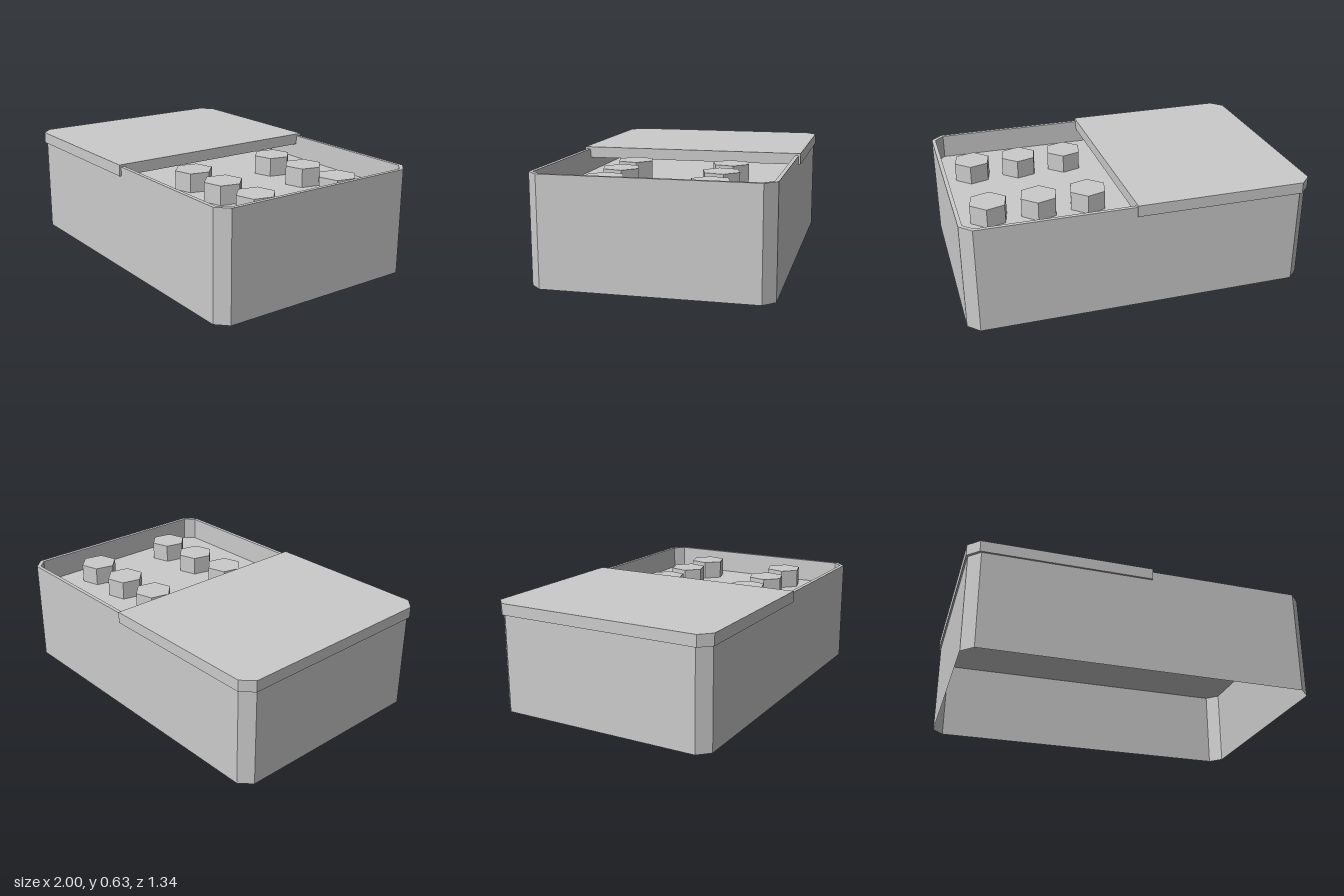
import * as THREE from 'three';

const grey = () => new THREE.MeshStandardMaterial({ color: 0xcccccc, flatShading: true, side: THREE.DoubleSide });

// Chamfered rectangle outline, counter-clockwise; c0 / c1 are the chamfers at the low and high x ends
function outline(x0, x1, hz, c0, c1) {
  return [
    [x0 + c0, -hz], [x1 - c1, -hz], [x1, -hz + c1], [x1, hz - c1],
    [x1 - c1, hz], [x0 + c0, hz], [x0, hz - c0], [x0, -hz + c0],
  ].map(([x, z]) => new THREE.Vector2(x, z));
}

// Skin a stack of closed outlines [points, y]
function loft(rings) {
  const pos = [], idx = [], n = rings[0][0].length;
  for (const [pts, y] of rings) for (const p of pts) pos.push(p.x, y, -p.y);
  for (let r = 0; r < rings.length - 1; r++) {
    for (let i = 0; i < n; i++) {
      const a = r * n + i, b = r * n + (i + 1) % n;
      idx.push(a, b, b + n, a, b + n, a + n);
    }
  }
  const g = new THREE.BufferGeometry();
  g.setAttribute('position', new THREE.Float32BufferAttribute(pos, 3));
  g.setIndex(idx);
  g.computeVertexNormals();
  return g;
}

export function createModel() {
  const group = new THREE.Group();
  const add = (name, geometry, x = 0, y = 0, z = 0) => {
    const mesh = new THREE.Mesh(geometry, grey());
    mesh.name = name;
    mesh.position.set(x, y, z);
    group.add(mesh);
    return mesh;
  };

  const top = 0.62, floorY = 0.48;
  const outer = outline(-0.99, 1, 0.66, 0.065, 0.065);
  const inner = outline(-0.968, 0.978, 0.638, 0.053, 0.053);

  // Walls: open below, with a thin rim turning down into the tray
  add('walls', loft([[outer, 0], [outer, top], [inner, top], [inner, floorY]]));

  // Raised tray floor
  add('trayFloor', new THREE.ShapeGeometry(new THREE.Shape(outer)).rotateX(-Math.PI / 2), 0, floorY, 0);

  // Lid over the right half, chamfered at its outer corners only
  const lidShape = new THREE.Shape(outline(-1, 0.047, 0.671, 0.065, 0).filter((p, i) => i !== 2 && i !== 4));
  const lid = new THREE.ExtrudeGeometry(lidShape, { depth: 0.066, bevelEnabled: false });
  add('lid', lid.rotateX(-Math.PI / 2), 0, 0.567, 0);

  // Two rows of hexagonal pegs standing on the tray
  const pegHeight = 0.11;
  for (const z of [-0.288, 0.288]) {
    for (let i = 0; i < 3; i++) {
      const peg = add('peg', new THREE.CylinderGeometry(0.112, 0.112, pegHeight, 6), 0.224 + i * 0.286, floorY + pegHeight / 2, z);
      peg.rotation.y = -0.23;
    }
  }
  return group;
}
